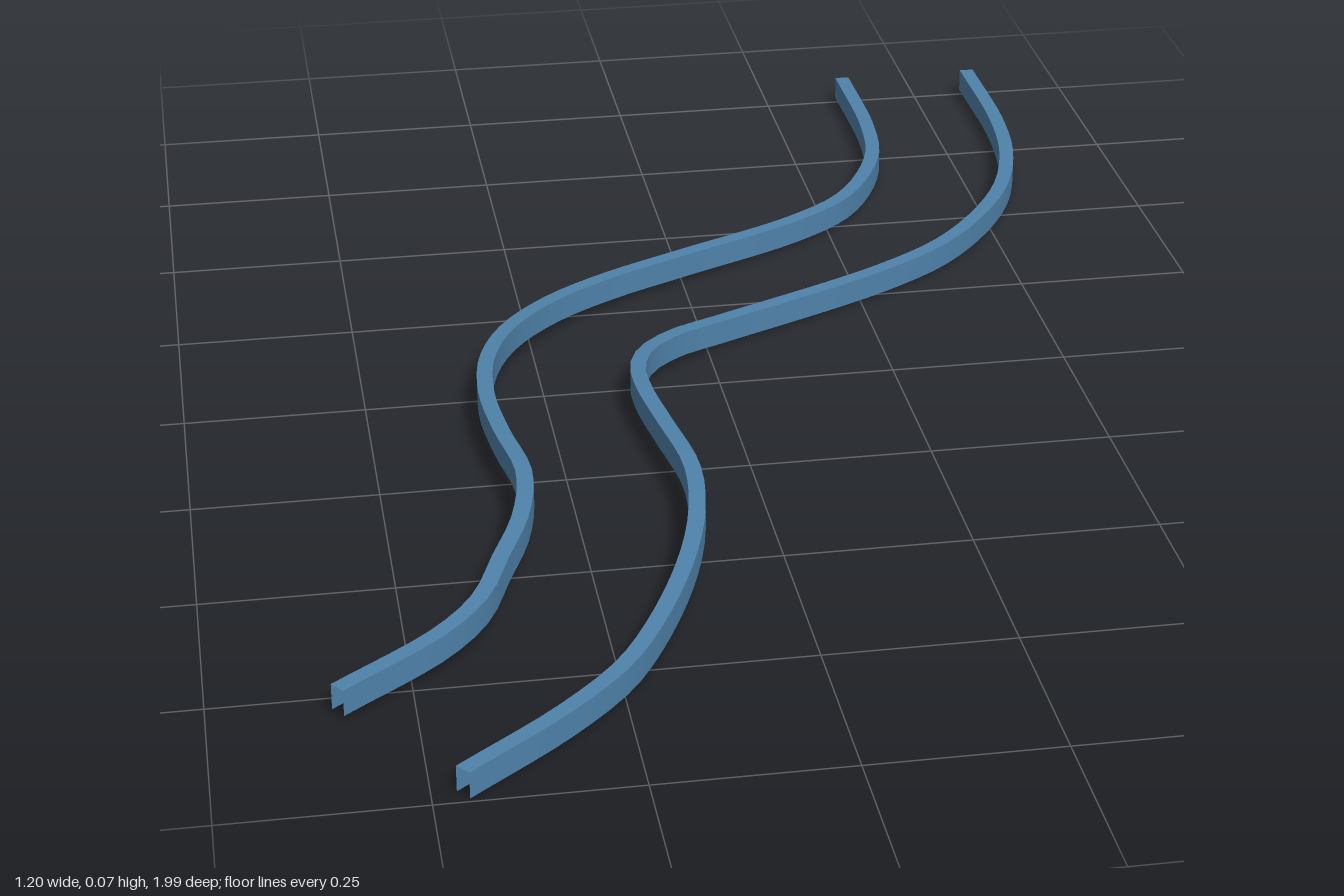
import * as THREE from 'three';

const WIDTH = 0.022, HEIGHT = 0.035, STEPS = 72;

// Centre line of each rail as [x, bottom y, z], from the back to the front
const LEFT = [
  [0.375, 0.012, -1], [0.375, 0.011, -0.79], [0.357, 0.01, -0.67], [0.285, 0.01, -0.53],
  [0.19, 0.011, -0.45], [0, 0.013, -0.35], [-0.12, 0.017, -0.28], [-0.21, 0.021, -0.21],
  [-0.283, 0.026, -0.12], [-0.325, 0.03, -0.02], [-0.34, 0.034, 0.1], [-0.333, 0.038, 0.22],
  [-0.317, 0.04, 0.35], [-0.335, 0.037, 0.46], [-0.37, 0.032, 0.55], [-0.405, 0.026, 0.635],
  [-0.46, 0.02, 0.7], [-0.593, 0.012, 0.797],
];
const RIGHT = [
  [0.588, 0.012, -1], [0.588, 0.011, -0.78], [0.57, 0.01, -0.64], [0.52, 0.01, -0.5],
  [0.41, 0.009, -0.35], [0.29, 0.009, -0.26], [0.02, 0.012, -0.12], [-0.05, 0.018, -0.075],
  [-0.1, 0.023, -0.02], [-0.122, 0.027, 0.04], [-0.124, 0.031, 0.12], [-0.113, 0.034, 0.22],
  [-0.097, 0.036, 0.36], [-0.11, 0.033, 0.48], [-0.145, 0.027, 0.6], [-0.2, 0.018, 0.72],
  [-0.25, 0.013, 0.8], [-0.33, 0.008, 0.88], [-0.463, 0.004, 0.985],
];

// Channel section [sideways, up]; each side is its own strip so its edges stay sharp
const h = WIDTH / 2;
const SIDES = [
  [[h, 0], [h, HEIGHT]],
  [[h, HEIGHT], [-h, HEIGHT]],
  [[-h, HEIGHT], [-h, 0]],
];

function railGeometry(points) {
  const curve = new THREE.CatmullRomCurve3(points.map(p => new THREE.Vector3(...p)));
  const positions = [], indices = [];
  for (const side of SIDES) {
    const start = positions.length / 3;
    for (let i = 0; i <= STEPS; i++) {
      const p = curve.getPointAt(i / STEPS);
      const t = curve.getTangentAt(i / STEPS).setY(0).normalize();
      // Horizontal direction across the rail, towards +x where the rail runs straight forward
      for (const [across, up] of side) {
        positions.push(p.x + t.z * across, p.y + up, p.z - t.x * across);
      }
      if (i < STEPS) {
        const a = start + i * 2;
        indices.push(a, a + 2, a + 1, a + 1, a + 2, a + 3);
      }
    }
  }
  const geometry = new THREE.BufferGeometry();
  geometry.setAttribute('position', new THREE.Float32BufferAttribute(positions, 3));
  // Wind the strips so that they face outwards
  for (let i = 0; i < indices.length; i += 3) {
    [indices[i + 1], indices[i + 2]] = [indices[i + 2], indices[i + 1]];
  }
  geometry.setIndex(indices);
  geometry.computeVertexNormals();
  return geometry;
}

export function createModel() {
  const group = new THREE.Group();
  group.name = 'curvedRails';
  const material = new THREE.MeshStandardMaterial({ color: 0x4f82aa, side: THREE.DoubleSide });
  // Two winding rails, open underneath and at the ends
  for (const [name, points] of [['leftRail', LEFT], ['rightRail', RIGHT]]) {
    const rail = new THREE.Mesh(railGeometry(points), material);
    rail.name = name;
    group.add(rail);
  }
  return group;
}
